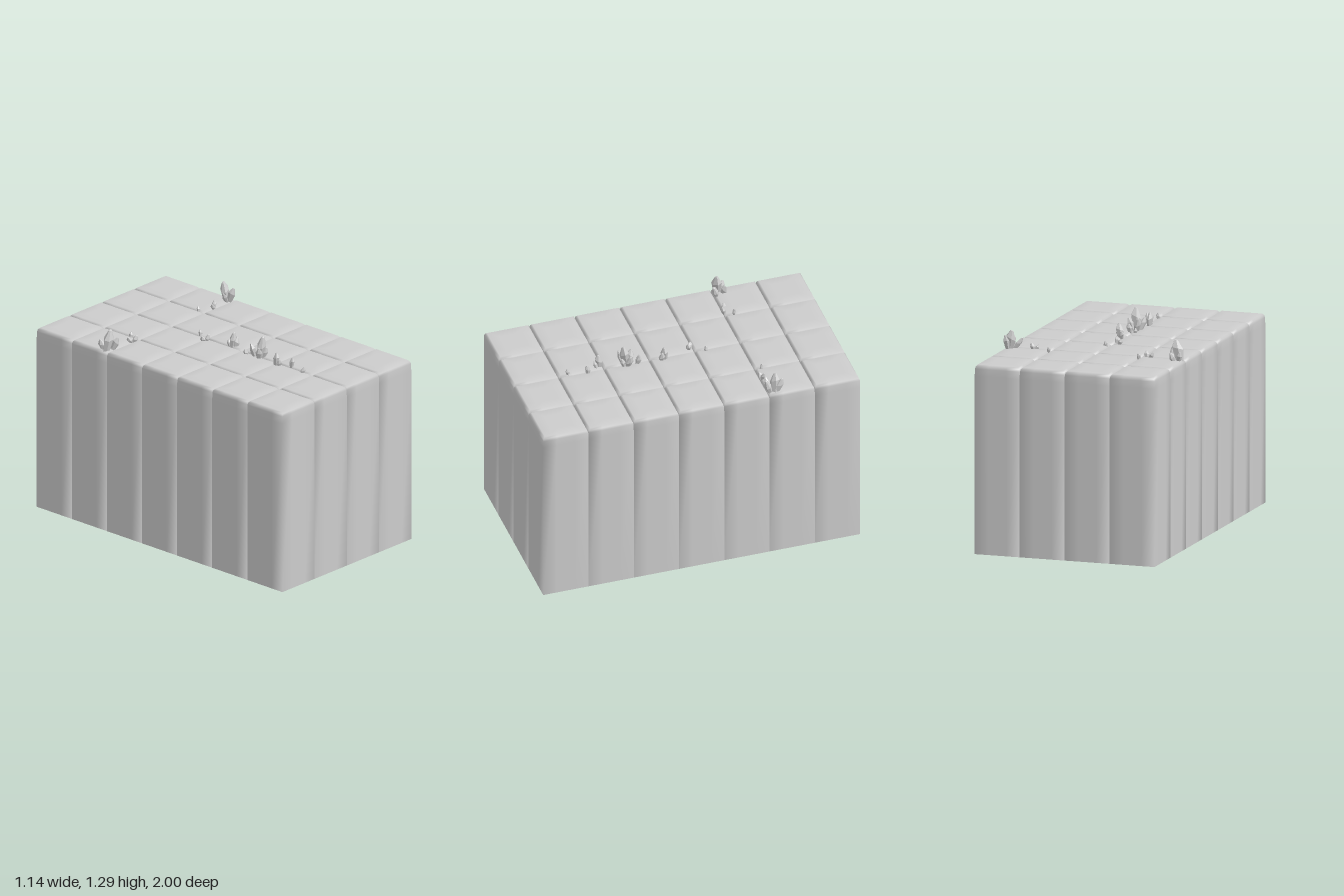
import * as THREE from 'three';

const CELL = 2 / 7, HALF = CELL / 2, TOP = 1.16;

// Square cross-section with extra points along each side
function ring(half, y) {
  const pts = [];
  for (let s = 0; s < 4; s++) {
    const c = Math.round(Math.cos(s * Math.PI / 2)), n = Math.round(Math.sin(s * Math.PI / 2));
    for (const t of [-half, -half * 0.4, half * 0.4]) pts.push([half * c - t * n, y, half * n + t * c]);
  }
  return pts;
}

// Square column, open below, with a softly rounded top edge and smooth normals
function columnGeometry() {
  const rings = [
    ring(HALF, 0), ring(HALF, 1.09), ring(HALF - 0.001, 1.135),
    ring(HALF - 0.005, 1.15), ring(HALF - 0.015, TOP), ring(HALF * 0.5, TOP + 0.001),
  ];
  const n = rings[0].length, pos = rings.flat(2), index = [];
  for (let r = 0; r < rings.length - 1; r++) {
    for (let i = 0; i < n; i++) {
      const a = r * n + i, b = r * n + (i + 1) % n;
      index.push(a, a + n, b, b, a + n, b + n);
    }
  }
  const centre = pos.length / 3, last = centre - n;
  pos.push(0, TOP + 0.001, 0);
  for (let i = 0; i < n; i++) index.push(last + i, centre, last + (i + 1) % n);
  const g = new THREE.BufferGeometry();
  g.setAttribute('position', new THREE.Float32BufferAttribute(pos, 3));
  g.setIndex(index);
  g.computeVertexNormals();
  return g;
}

// Six-sided crystal of unit height and radius with a slanted, blunt tip
function crystalGeometry() {
  const profile = [[0, 0], [0.6, 0], [1, 0.62], [0.3, 0.96], [0, 0.98]];
  const g = new THREE.LatheGeometry(profile.map(p => new THREE.Vector2(...p)), 6);
  const p = g.attributes.position;
  for (let i = 0; i < p.count; i++) {
    if (p.getY(i) > 0.5) p.setY(i, p.getY(i) + 0.1 * p.getX(i));
  }
  return g;
}

// Crystals as [base x, base z, tip x, tip y, tip z, radius]
const CLUSTERS = {
  leftEdgeCrystals: [
    [0.54, -0.47, 0.515, 1.275, -0.48, 0.033], [0.54, -0.48, 0.55, 1.25, -0.515, 0.023],
    [0.53, -0.45, 0.54, 1.245, -0.415, 0.026], [0.52, -0.45, 0.465, 1.225, -0.435, 0.018],
  ],
  leftSmallCrystals: [
    [0.39, -0.44, 0.405, 1.2, -0.45, 0.017], [0.385, -0.44, 0.365, 1.185, -0.43, 0.014],
    [0.285, -0.465, 0.29, 1.185, -0.475, 0.012],
  ],
  rightEdgeCrystals: [
    [-0.545, -0.46, -0.515, 1.285, -0.45, 0.037], [-0.54, -0.475, -0.555, 1.22, -0.5, 0.022],
    [-0.505, -0.45, -0.48, 1.23, -0.42, 0.024], [-0.52, -0.48, -0.495, 1.21, -0.505, 0.02],
  ],
  rightSmallCrystals: [
    [-0.33, -0.435, -0.315, 1.195, -0.42, 0.019], [-0.335, -0.44, -0.37, 1.19, -0.445, 0.016],
    [-0.3, -0.485, -0.285, 1.19, -0.49, 0.014],
  ],
  centreCrystals: [
    [0, 0.29, 0.005, 1.295, 0.312, 0.034], [0.01, 0.285, 0.045, 1.235, 0.275, 0.025],
    [-0.015, 0.3, -0.045, 1.235, 0.325, 0.022], [-0.01, 0.27, -0.03, 1.24, 0.245, 0.024],
    [0.01, 0.3, 0.025, 1.22, 0.325, 0.02], [0.01, 0.225, 0.02, 1.215, 0.21, 0.019],
    [-0.025, 0.205, -0.028, 1.19, 0.2, 0.015],
  ],
  centreRowCrystals: [
    [0.015, 0.05, 0.025, 1.245, 0.06, 0.026], [0.02, 0.07, 0.04, 1.215, 0.075, 0.022],
    [0.01, 0.05, 0.005, 1.2, 0.035, 0.018],
    [-0.03, 0.45, -0.03, 1.24, 0.455, 0.025], [-0.02, 0.465, -0.035, 1.2, 0.48, 0.018],
    [-0.03, -0.12, -0.02, 1.2, -0.105, 0.018], [-0.035, -0.125, -0.055, 1.19, -0.13, 0.017],
    [0.015, -0.205, 0.02, 1.19, -0.21, 0.014], [0.015, 0.535, 0.018, 1.215, 0.54, 0.018],
    [-0.018, 0.65, -0.01, 1.195, 0.66, 0.015],
  ],
};

export function createModel() {
  const model = new THREE.Group();
  const stone = new THREE.MeshStandardMaterial({ color: 0xcccccc, side: THREE.DoubleSide });
  const facet = new THREE.MeshStandardMaterial({ color: 0xcccccc, flatShading: true });

  // Block of 4 by 7 columns
  const columns = new THREE.Group();
  columns.name = 'columns';
  const colGeo = columnGeometry();
  for (let i = 0; i < 4; i++) {
    for (let k = 0; k < 7; k++) {
      const column = new THREE.Mesh(colGeo, stone);
      column.name = 'column';
      column.position.set((i - 1.5) * CELL, 0, (k - 3) * CELL);
      columns.add(column);
    }
  }
  model.add(columns);

  // Crystal clusters growing out of the seams on top
  const crystalGeo = crystalGeometry();
  const up = new THREE.Vector3(0, 1, 0);
  for (const [name, list] of Object.entries(CLUSTERS)) {
    const cluster = new THREE.Group();
    cluster.name = name;
    list.forEach(([bx, bz, tx, ty, tz, r], i) => {
      const crystal = new THREE.Mesh(crystalGeo, facet);
      crystal.name = 'crystal';
      const base = new THREE.Vector3(bx, TOP - 0.02, bz);
      const axis = new THREE.Vector3(tx, ty, tz).sub(base);
      crystal.scale.set(r, axis.length(), r * 0.8);
      crystal.position.copy(base);
      crystal.quaternion.setFromUnitVectors(up, axis.normalize());
      crystal.rotateY(i * 1.3 + 0.4);
      cluster.add(crystal);
    });
    model.add(cluster);
  }
  return model;
}
